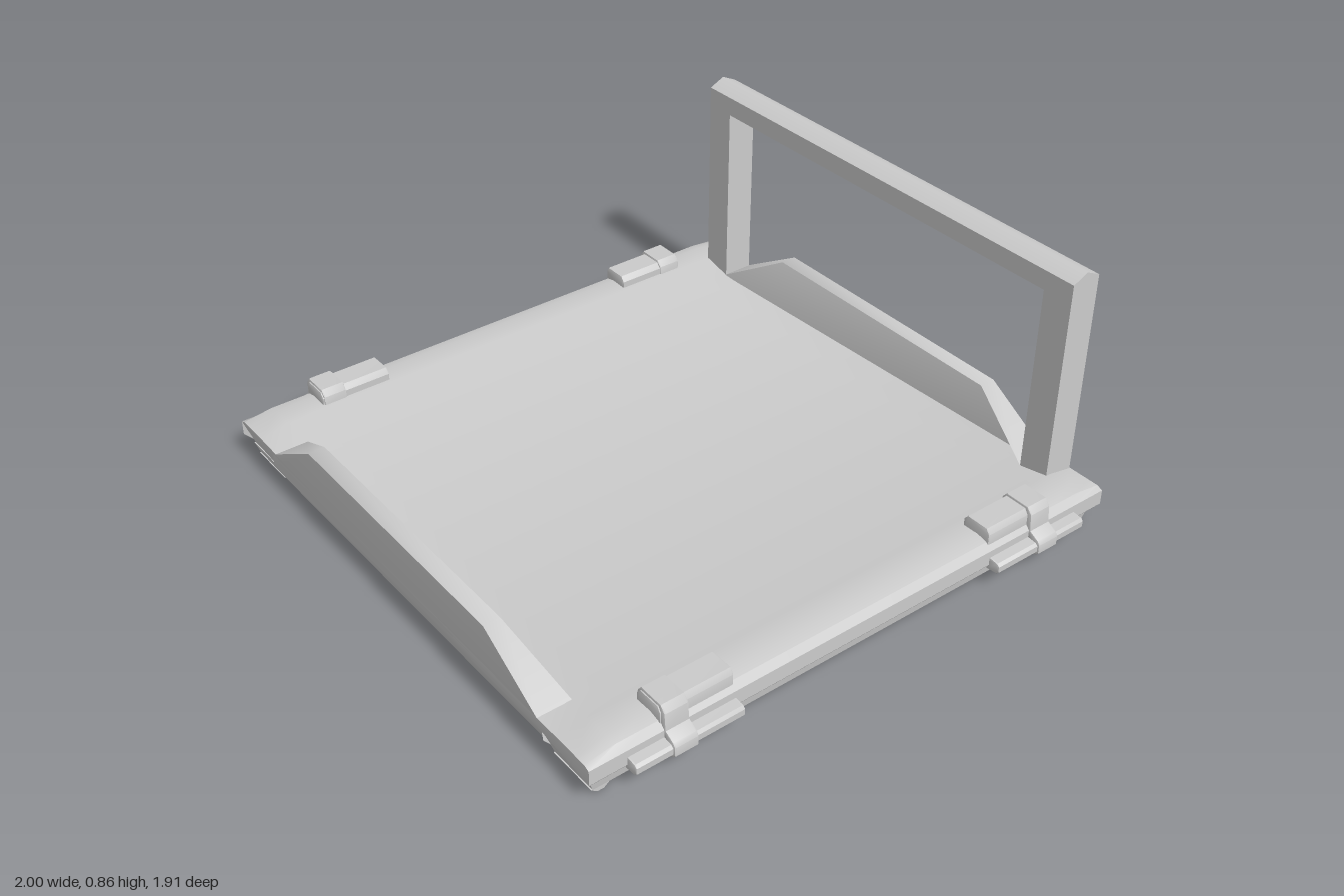
import * as THREE from 'three';
import { toCreasedNormals } from 'three/addons/utils/BufferGeometryUtils.js';

const material = new THREE.MeshStandardMaterial({ color: 0xcccccc });

function add(parent, name, geometry, crease = 0.6) {
  const mesh = new THREE.Mesh(toCreasedNormals(geometry, crease), material);
  mesh.name = name;
  parent.add(mesh);
  return mesh;
}

// Extrude a closed outline along z, centred on z = 0
function prism(points, depth, steps = 1, bevel = 0) {
  const shape = new THREE.Shape(points.map(([x, y]) => new THREE.Vector2(x, y)));
  const geometry = new THREE.ExtrudeGeometry(shape, {
    depth: depth - 2 * bevel, steps, bevelEnabled: bevel > 0,
    bevelThickness: bevel, bevelSize: bevel, bevelOffset: -bevel, bevelSegments: 2,
  });
  return geometry.translate(0, 0, -depth / 2 + bevel);
}

// Move each vertex by a rule
function reshape(geometry, rule) {
  const p = geometry.attributes.position;
  const v = new THREE.Vector3();
  for (let i = 0; i < p.count; i++) {
    v.fromBufferAttribute(p, i);
    rule(v);
    p.setXYZ(i, v.x, v.y, v.z);
  }
  return geometry;
}

const mirrored = (half) => [...half, ...half.map(([x, y]) => [-x, y]).reverse()];

export function createModel() {
  const model = new THREE.Group();
  model.name = 'tray';

  // Thin floor, open below, with raised side rails that dip at the corners
  const profile = mirrored([
    [0.72, 0.105], [0.745, 0.045], [0.89, 0.045], [0.94, 0.06], [0.955, 0.08],
    [0.955, 0.13], [0.935, 0.152], [0.9, 0.16], [0.82, 0.157], [0.72, 0.135],
  ]);
  add(model, 'trayBody', reshape(prism(profile, 1.91, 20), (v) => {
    if (Math.abs(v.z) > 0.92) v.y = Math.min(v.y, 0.138);
    if (v.y < 0.07) v.z *= 0.975;
  }));

  // Sloped lips at the front and back, reaching below the floor
  const lipOutline = mirrored([[0.75, 0.047], [0.75, 0.075], [0.74, 0.125], [0.48, 0.28]]);
  for (const [name, turn] of [['frontLip', 0], ['backLip', Math.PI]]) {
    const lip = reshape(prism(lipOutline, 1), (v) => {
      const outer = v.y < 0.06 ? 0.932 : 0.955;
      const inner = v.y < 0.1 ? 0.9 : 0.9 - ((0.28 - v.y) / 0.14) * 0.055;
      v.z = v.z > 0 ? outer : inner;
    });
    add(model, name, lip).rotation.y = turn;
  }

  // Carrying handle: two posts and a ridged crossbar
  const handle = new THREE.Group();
  handle.name = 'handle';
  handle.position.z = -0.898;
  model.add(handle);
  const bar = prism([[-0.053, 0.768], [0.053, 0.768], [0.053, 0.832], [0, 0.857], [-0.053, 0.832]], 1.65);
  add(handle, 'handleBar', bar.rotateY(Math.PI / 2), 1);
  for (const side of [-1, 1]) {
    const post = new THREE.BoxGeometry(0.105, 0.66, 0.106);
    add(handle, 'handlePost', post).position.set(side * 0.7725, 0.45, 0);
  }

  // Runners underneath, with chamfered ends and low feet
  for (const side of [-1, 1]) {
    const runner = prism([[-0.092, 0.055], [-0.085, 0.014], [0.085, 0.014], [0.092, 0.055]], 1.87);
    add(model, 'runner', reshape(runner, (v) => {
      if (v.y < 0.03) v.z *= 0.985;
    })).position.x = side * 0.835;
    for (const end of [-1, 1]) {
      const foot = prism([[-0.03, 0.015], [-0.01, 0], [0.01, 0], [0.03, 0.015]], 0.17);
      add(model, 'foot', foot.rotateY(Math.PI / 2)).position.set(side * 0.835, 0, end * 0.895);
    }
  }

  // One clip: pad on the rail, strap over the edge, rod along the side
  const pad = [[0.84, 0.14], [0.942, 0.14], [0.942, 0.18], [0.93, 0.198], [0.855, 0.198], [0.84, 0.18]];
  const strap = [
    [0.835, 0.15], [0.838, 0.185], [0.855, 0.206], [0.938, 0.206], [0.955, 0.185], [0.96, 0.13],
    [0.992, 0.112], [1, 0.1], [1, 0.07], [0.99, 0.06], [0.955, 0.042], [0.92, 0.06], [0.92, 0.15],
  ];
  const rod = [[0.945, 0.062], [0.985, 0.066], [0.994, 0.075], [0.994, 0.095], [0.985, 0.103], [0.945, 0.107]];
  for (const side of [0, 1]) {
    for (const end of [-1, 1]) {
      const clip = new THREE.Group();
      clip.name = 'clip';
      model.add(clip);
      clip.rotation.y = side * Math.PI;
      add(clip, 'clipPad', prism(pad, 0.245, 1, 0.005)).position.z = end * 0.598;
      add(clip, 'clipStrap', prism(strap, 0.08, 1, 0.005)).position.z = end * 0.676;
      add(clip, 'clipRod', prism(rod, 0.36, 1, 0.005)).position.z = end * 0.655;
    }
  }
  return model;
}
